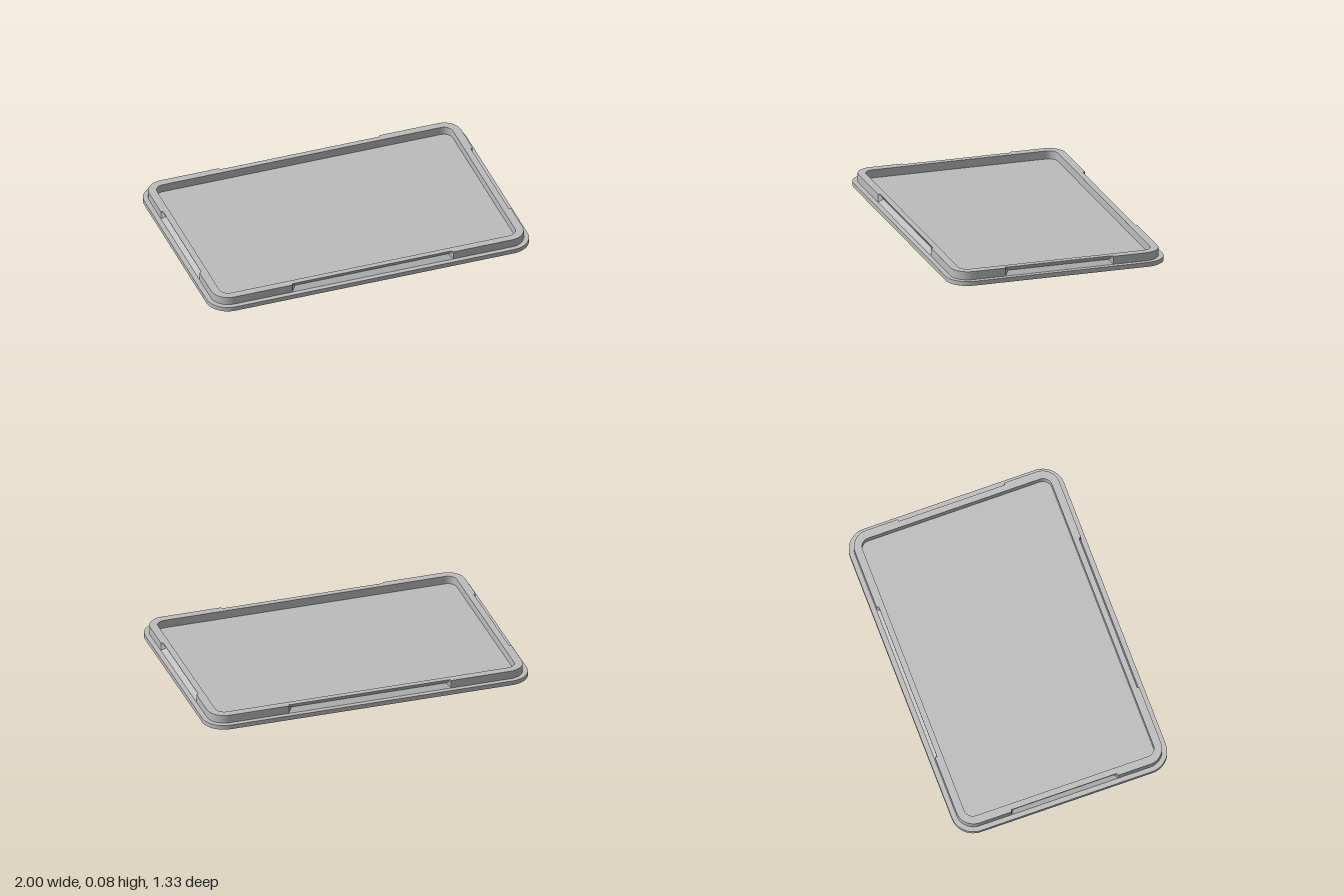
import * as THREE from 'three';
import { toCreasedNormals } from 'three/addons/utils/BufferGeometryUtils.js';

const CORNER_STEPS = 12;
const GRIP_HALF = [0.5, 0.333]; // half length of the grips on long and short sides

// Rounded rectangle seen from above; every side may be pushed in by `depth`
// over its grip length, shortened by `inset` at both ends.
function outline(hx, hz, r, depth = 0, inset = 0) {
  const pts = [];
  let n = new THREE.Vector2(0, 1), t = new THREE.Vector2(1, 0); // (x, z)
  for (let k = 0; k < 4; k++) {
    const [ht, hn] = k % 2 ? [hz, hx] : [hx, hz];
    const at = (u, v) => pts.push(new THREE.Vector2().addScaledVector(t, u).addScaledVector(n, v));
    const g = GRIP_HALF[k % 2];
    at(-g, hn);
    at(-g + inset, hn - depth);
    at(g - inset, hn - depth);
    at(g, hn);
    for (let i = 0; i <= CORNER_STEPS; i++) {
      const a = (i / CORNER_STEPS) * Math.PI / 2;
      at(ht - r + r * Math.sin(a), hn - r + r * Math.cos(a));
    }
    [n, t] = [t, n.clone().negate()];
  }
  return pts;
}

// Skin a list of equal-length rings
function loft(rings) {
  const pos = [];
  const tri = (a, b, c) => {
    const area = b.clone().sub(a).cross(c.clone().sub(a)).length();
    if (area > 1e-9) pos.push(...a.toArray(), ...b.toArray(), ...c.toArray());
  };
  const loops = rings.map(({ y, pts }) => pts.map(p => new THREE.Vector3(p.x, y, p.y)));
  for (let j = 0; j + 1 < loops.length; j++) {
    const a = loops[j], b = loops[j + 1];
    for (let i = 0; i < a.length; i++) {
      const m = (i + 1) % a.length;
      tri(a[i], a[m], b[m]);
      tri(a[i], b[m], b[i]);
    }
  }
  const geo = new THREE.BufferGeometry();
  geo.setAttribute('position', new THREE.Float32BufferAttribute(pos, 3));
  return toCreasedNormals(geo, 0.3);
}

export function createModel() {
  const group = new THREE.Group();
  group.name = 'trayLid';
  const grey = new THREE.MeshStandardMaterial({ color: 0xbcbcbc });
  grey.name = 'plainGrey';
  const baseTop = 0.027, top = 0.077;

  // Flat base plate with rounded corners
  const shape = new THREE.Shape(outline(1, 0.667, 0.133).map(p => new THREE.Vector2(p.x, -p.y)));
  const plate = new THREE.ExtrudeGeometry(shape, { depth: baseTop, bevelEnabled: false });
  plate.rotateX(-Math.PI / 2);
  const base = new THREE.Mesh(toCreasedNormals(plate, 0.3), grey);
  base.name = 'basePlate';
  group.add(base);

  // Raised rim with a V-shaped finger grip cut into each side
  const outer = (y, depth, inset) => ({ y, pts: outline(0.97, 0.637, 0.105, depth, inset) });
  const inner = y => ({ y, pts: outline(0.92, 0.59, 0.055) });
  const rim = new THREE.Mesh(loft([
    outer(baseTop, 0, 0),
    outer(0.052, 0.026, 0.024),
    outer(0.073, 0.013, 0.004),
    outer(top, 0.013, 0.004),
    inner(top),
    inner(baseTop),
  ]), grey);
  rim.name = 'rim';
  group.add(rim);

  return group;
}
